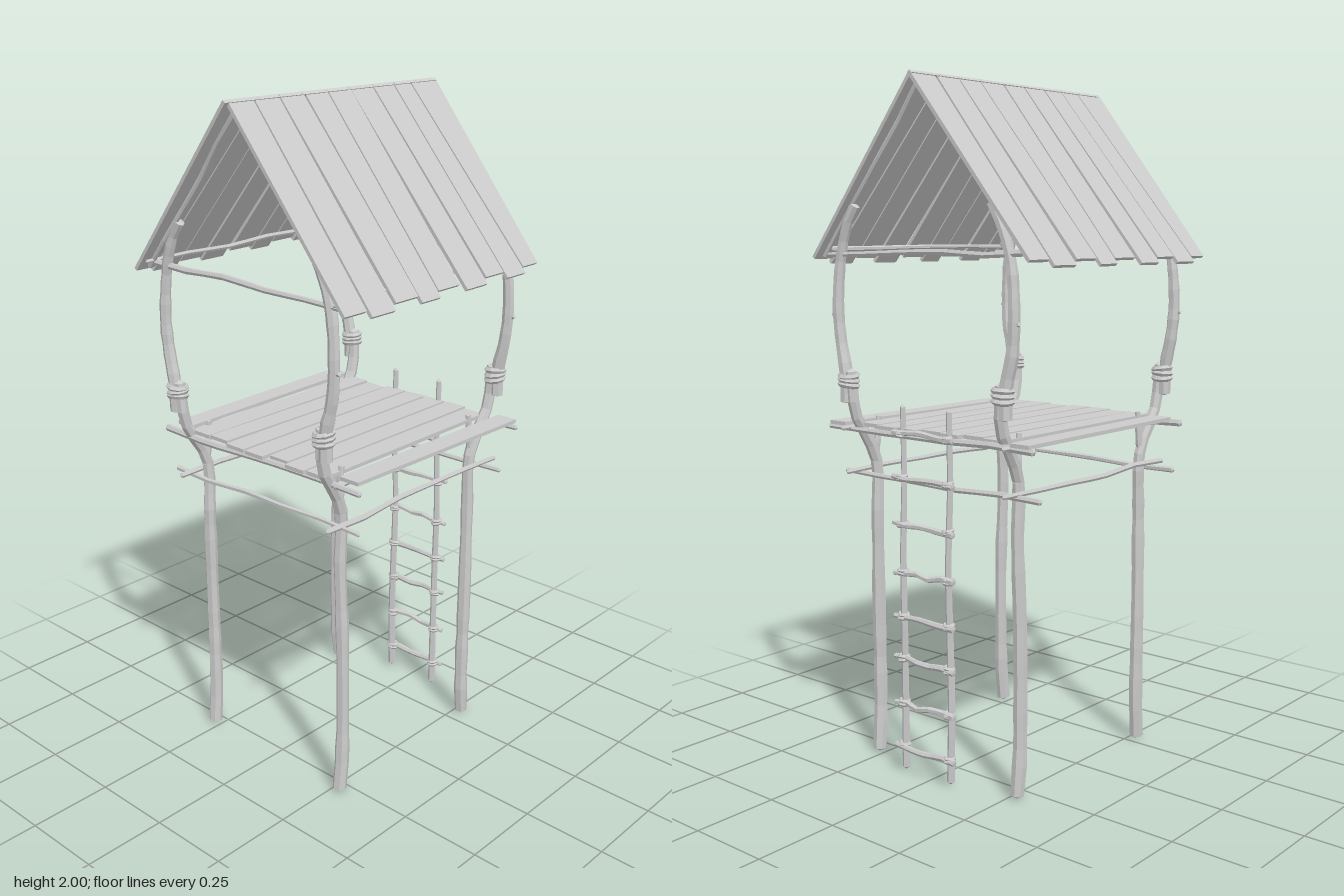
import * as THREE from 'three';

const wood = new THREE.MeshStandardMaterial({ color: 0xcccccc, flatShading: true });

let seed = 7;
const rand = () => {
  seed = (seed * 16807) % 2147483647;
  return seed / 2147483647 - 0.5;
};
const lerp = THREE.MathUtils.lerp;

// Closed, tapering branch that follows a list of points
function branch(name, points, r0, r1 = r0, sides = 7, rings = 14) {
  const path = new THREE.CatmullRomCurve3(points.map(p => new THREE.Vector3(...p)));
  const geo = new THREE.TubeGeometry(path, rings, 1, sides);
  const pos = geo.attributes.position;
  const v = new THREE.Vector3();
  for (let i = 0; i <= rings; i++) {
    const end = i === 0 || i === rings;
    const centre = path.getPointAt(i / rings);
    const target = end ? path.getPointAt(i === 0 ? 0.004 : 0.996) : centre;
    const r = end ? 0 : lerp(r0, r1, i / rings) * (1 + rand() * 0.15);
    for (let j = 0; j <= sides; j++) {
      const k = i * (sides + 1) + j;
      v.fromBufferAttribute(pos, k).sub(centre);
      // the second ring from each end is pulled out to form a blunt tip
      const c = i === 1 ? path.getPointAt(0.012) : i === rings - 1 ? path.getPointAt(0.988) : target;
      v.multiplyScalar(r).add(c);
      pos.setXYZ(k, v.x, v.y, v.z);
    }
  }
  const mesh = new THREE.Mesh(geo, wood);
  mesh.name = name;
  return mesh;
}

// Slightly crooked stick between two points
function stick(name, a, b, r) {
  const points = [];
  for (let i = 0; i <= 5; i++) {
    points.push(a.map((c, k) => lerp(c, b[k], i / 5) + (i % 5 ? rand() * 0.01 : 0)));
  }
  return branch(name, points, r, r * 0.75, 6, 10);
}

// Board made by moving the corners of a box: place(u, v, w), each from 0 to 1
function board(name, place) {
  const geo = new THREE.BoxGeometry(1, 1, 1);
  const pos = geo.attributes.position;
  for (let i = 0; i < pos.count; i++) {
    pos.setXYZ(i, ...place(pos.getX(i) + 0.5, pos.getY(i) + 0.5, pos.getZ(i) + 0.5));
  }
  const mesh = new THREE.Mesh(geo, wood);
  mesh.name = name;
  return mesh;
}

// Rope winding: a few stacked rings round a vertical pole
function binding(x, y, z, r, tube, turns) {
  const group = new THREE.Group();
  group.name = 'ropeBinding';
  for (let i = 0; i < turns; i++) {
    const ring = new THREE.Mesh(new THREE.TorusGeometry(r, tube, 5, 9), wood);
    ring.rotation.set(Math.PI / 2 + rand() * 0.3, rand() * 0.3, 0);
    ring.position.set(x, y + (i - (turns - 1) / 2) * tube * 1.5, z);
    group.add(ring);
  }
  return group;
}

function buildPosts() {
  const group = new THREE.Group();
  group.name = 'posts';
  for (const s of [-1, 1]) {
    for (const f of [-1, 1]) {
      const z = f > 0 ? 0 : -0.02;
      const at = (x, y, d) => [s * x, y, f * d + z];
      group.add(
        branch('leg', [at(0.272, 0, 0.285), at(0.274, 0.12, 0.275), at(0.275, 0.5, 0.275), at(0.27, 0.75, 0.28),
          at(0.272, 0.9, 0.278), at(0.275, 0.97, 0.305), at(0.278, 1.04, 0.35), at(0.28, 1.12, 0.366),
          at(0.285, 1.19, 0.366)], 0.021, 0.017, 7, 24),
        branch('forkStub', [at(0.272, 0.9, 0.285), at(0.27, 0.97, 0.278), at(0.268, 1.04, 0.272)], 0.013, 0.008),
        branch('upperPost', [at(0.3, 1.08, 0.368), at(0.302, 1.17, 0.368), at(0.322, 1.26, 0.366), at(0.33, 1.36, 0.368),
          at(0.318, 1.5, 0.366), at(0.285, 1.6, 0.368), at(0.25, 1.655, 0.366)], 0.02, 0.014, 7, 20),
        branch('twig', [at(0.325, 1.33, 0.368), at(0.338, 1.335, 0.369), at(0.35, 1.34, 0.37)], 0.008, 0.006, 5, 5),
        branch('twig', [at(0.3, 1.58, 0.368), at(0.278, 1.61, 0.369), at(0.268, 1.65, 0.37)], 0.01, 0.007, 5, 5),
        binding(s * 0.292, 1.15, f * 0.367 + z, 0.025, 0.009, 3),
      );
    }
  }
  return group;
}

function buildFloor() {
  const group = new THREE.Group();
  group.name = 'floor';
  const plank = (x, w, z0, z1, skew) => group.add(board('floorPlank', (u, v, t) => [
    x + (u - 0.5) * w + (t - 0.5) * skew, 1.015 + v * 0.011, lerp(z0, z1, t)]));
  // main deck
  for (let i = 0; i < 7; i++) {
    plank((i - 3) * 0.079, 0.07, -0.365 + rand() * 0.03, 0.335 + rand() * 0.03, rand() * 0.015);
  }
  // loose edge planks
  for (const s of [-1, 1]) plank(s * 0.337, 0.065, -0.385, 0.31, -s * 0.015);
  // joists and lower braces
  for (const z of [-0.37, 0.335]) {
    group.add(stick('joist', [-0.39, 1.007, z], [0.4, 1.007, z], 0.011));
  }
  for (const z of [-0.335, 0.305]) {
    group.add(stick('lowerBrace', [-0.385, 0.868, z], [0.37, 0.872, z], 0.009));
  }
  for (const s of [-1, 1]) {
    group.add(stick('sideBrace', [s * 0.298, 0.88, 0.37], [s * 0.298, 0.88, -0.4], 0.009));
    group.add(stick('sideJoist', [s * 0.305, 1.005, 0.345], [s * 0.305, 1.01, -0.41], 0.009));
  }
  return group;
}

function buildLadder() {
  const group = new THREE.Group();
  group.name = 'ladder';
  const rails = [-0.08, 0.096];
  for (const x of rails) group.add(stick('ladderRail', [x, 0.01, -0.368], [x - 0.004, 1.1, -0.37], 0.011));
  for (const y of [0.09, 0.22, 0.355, 0.48, 0.61, 0.75, 0.885, 1.01]) {
    group.add(stick('rung', [-0.107, y + rand() * 0.01, -0.38], [0.127, y + rand() * 0.01, -0.38], 0.01));
    for (const x of rails) group.add(binding(x, y, -0.372, 0.013, 0.006, 2));
  }
  return group;
}

// Roof boards as [ridge start, ridge end, eave start, eave end] along z
const ROOF = {
  left: [[-0.425, -0.31, -0.42, -0.35], [-0.305, -0.235, -0.345, -0.26], [-0.23, -0.145, -0.255, -0.175],
    [-0.14, -0.05, -0.165, -0.075], [-0.05, 0.04, -0.055, 0.035], [0.045, 0.13, 0.04, 0.117],
    [0.137, 0.225, 0.12, 0.21], [0.23, 0.318, 0.225, 0.315], [0.323, 0.41, 0.323, 0.405]],
  right: [[-0.425, -0.332, -0.41, -0.33], [-0.323, -0.237, -0.323, -0.23], [-0.233, -0.147, -0.213, -0.125],
    [-0.143, -0.047, -0.12, -0.045], [-0.04, 0.047, -0.04, 0.055], [0.052, 0.14, 0.073, 0.16],
    [0.145, 0.225, 0.17, 0.253], [0.228, 0.305, 0.257, 0.345], [0.309, 0.425, 0.349, 0.415]],
};

function buildRoof() {
  const group = new THREE.Group();
  group.name = 'roof';
  for (const s of [-1, 1]) {
    (s > 0 ? ROOF.left : ROOF.right).forEach(([r0, r1, e0, e1], i) => {
      const reach = i % 2 ? 1.02 : 0.99;
      group.add(board('roofBoard', (u, v, t) => {
        const d = (s > 0 ? u : 1 - u) * reach;
        const depth = (1 - v) * 0.011;
        return [s * (d * 0.405 - depth * 0.777), 2 - d * 0.5 - depth * 0.629,
          lerp(lerp(r0, r1, t), lerp(e0, e1, t), d / reach)];
      }));
    });
    // rafters and eave poles
    for (const z of [-0.39, 0.375]) {
      group.add(stick('rafter', [s * 0.004, 1.972, z], [s * 0.385, 1.5, z], 0.009));
    }
    group.add(stick('eavePole', [s * 0.36, 1.527, -0.39], [s * 0.36, 1.527, 0.41], 0.008));
  }
  for (const z of [-0.385, 0.37]) {
    group.add(stick('tieBeam', [-0.385, 1.522, z], [0.385, 1.51, z], 0.01));
  }
  return group;
}

export function createModel() {
  const model = new THREE.Group();
  model.name = 'treeHut';
  model.add(buildPosts(), buildFloor(), buildLadder(), buildRoof());
  return model;
}
